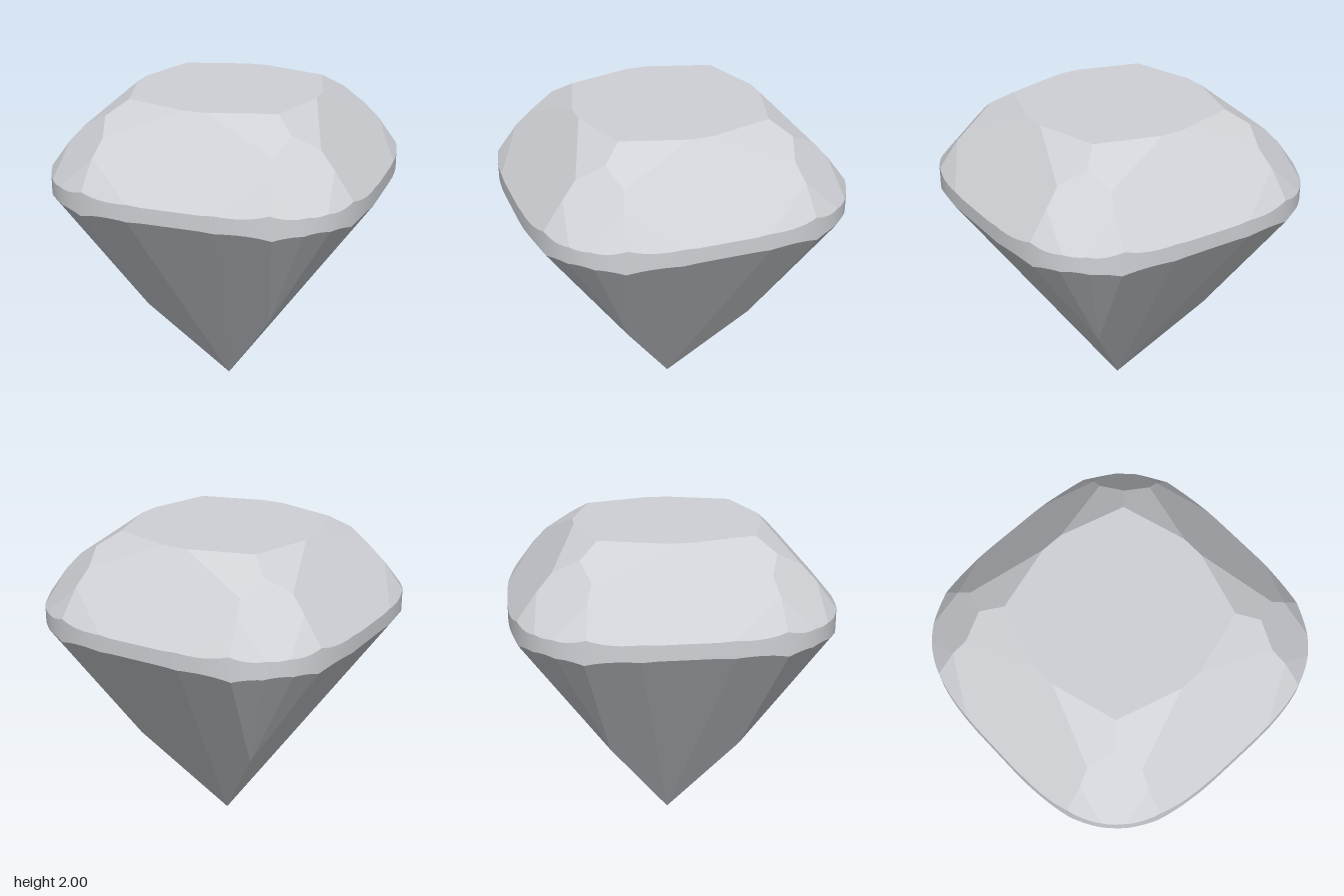
import * as THREE from 'three';

// Cushion outline: |x|^N + |z|^N = 1, given by its tangent planes
const N = 3.2, GIRDLE_SIDES = 128;

// Facet rows [p, q, c]: crown y <= c - p*x - q*z, pavilion y >= c + p*x + q*z
const CROWN = [
  [0, 1.095, 2.635],        // side mains
  [0.173, 0.593, 2.356],    // stars beside the table
  [0.8125, 0.8125, 2.849],  // corner mains
  [0.149, 1.344, 2.922],    // upper girdle, side
  [0.756, 1.249, 3.1775],   // upper girdle, corner
];
const PAVILION = [
  [0, 1.445, 0],            // side mains
  [0.168, 1.4, 0],          // long facets to the tip
  [0.745, 1.21, -0.157],    // lower girdle, corner
  [1.0126, 1.0126, -0.185], // corner mains
];

function makePlane(nx, ny, nz, d) {
  const normal = new THREE.Vector3(nx, ny, nz);
  const length = normal.length();
  return new THREE.Plane(normal.divideScalar(length), -d / length);
}

// Repeat every facet by mirroring in x, in z and across the diagonal
function facetPlanes(rows, up) {
  const planes = new Map();
  for (const [a, b, c] of rows)
    for (const [p, q] of [[a, b], [b, a]])
      for (const sx of [1, -1])
        for (const sz of [1, -1]) {
          const x = p * sx + 0, z = q * sz + 0;
          planes.set(`${x},${z}`, makePlane(x, up, z, c * up));
        }
  return [...planes.values()];
}

function girdlePlanes() {
  const m = N / (N - 1), planes = [];
  for (let i = 0; i < GIRDLE_SIDES; i++) {
    const t = (i / GIRDLE_SIDES) * Math.PI * 2;
    const c = Math.cos(t), s = Math.sin(t);
    const reach = (Math.abs(c) ** m + Math.abs(s) ** m) ** (1 / m);
    planes.push(makePlane(c, 0, s, reach));
  }
  return planes;
}

// Keep the part of a polygon behind a plane
function clip(polygon, plane) {
  const kept = [];
  polygon.forEach((a, i) => {
    const b = polygon[(i + 1) % polygon.length];
    const da = plane.distanceToPoint(a), db = plane.distanceToPoint(b);
    if (da <= 0) kept.push(a);
    if ((da < 0 && db > 0) || (da > 0 && db < 0)) kept.push(a.clone().lerp(b, da / (da - db)));
  });
  return kept;
}

// Cut a large square on the plane down to its facet
function facetPolygon(plane, allPlanes) {
  const n = plane.normal;
  const u = Math.abs(n.y) > 0.9 ? new THREE.Vector3(1, 0, 0) : new THREE.Vector3(0, 1, 0);
  u.cross(n).normalize();
  const v = n.clone().cross(u);
  const centre = n.clone().multiplyScalar(-plane.constant);
  let polygon = [[1, 1], [-1, 1], [-1, -1], [1, -1]].map(([a, b]) =>
    centre.clone().addScaledVector(u, a * 6).addScaledVector(v, b * 6));
  for (const other of allPlanes) if (other !== plane) polygon = clip(polygon, other);
  return polygon;
}

function facetGeometry(planes, allPlanes, smooth) {
  const positions = [], normals = [];
  for (const plane of planes) {
    const polygon = facetPolygon(plane, allPlanes);
    for (let i = 1; i < polygon.length - 1; i++)
      for (const p of [polygon[0], polygon[i], polygon[i + 1]]) {
        positions.push(p.x, p.y, p.z);
        const n = smooth
          ? new THREE.Vector3(Math.sign(p.x) * Math.abs(p.x) ** (N - 1), 0,
              Math.sign(p.z) * Math.abs(p.z) ** (N - 1)).normalize()
          : plane.normal;
        normals.push(n.x, n.y, n.z);
      }
  }
  const geometry = new THREE.BufferGeometry();
  geometry.setAttribute('position', new THREE.Float32BufferAttribute(positions, 3));
  geometry.setAttribute('normal', new THREE.Float32BufferAttribute(normals, 3));
  return geometry;
}

export function createModel() {
  const gem = new THREE.Group();
  gem.name = 'cushionCutGem';
  const stone = new THREE.MeshStandardMaterial({ color: 0xcfd1d6 });
  stone.name = 'pale grey stone';

  const parts = {
    table: [makePlane(0, 1, 0, 2)],
    crown: facetPlanes(CROWN, 1),
    girdle: girdlePlanes(),
    pavilion: facetPlanes(PAVILION, -1),
  };
  const allPlanes = Object.values(parts).flat();
  for (const [name, planes] of Object.entries(parts)) {
    const mesh = new THREE.Mesh(facetGeometry(planes, allPlanes, name === 'girdle'), stone);
    mesh.name = name;
    gem.add(mesh);
  }
  return gem;
}
